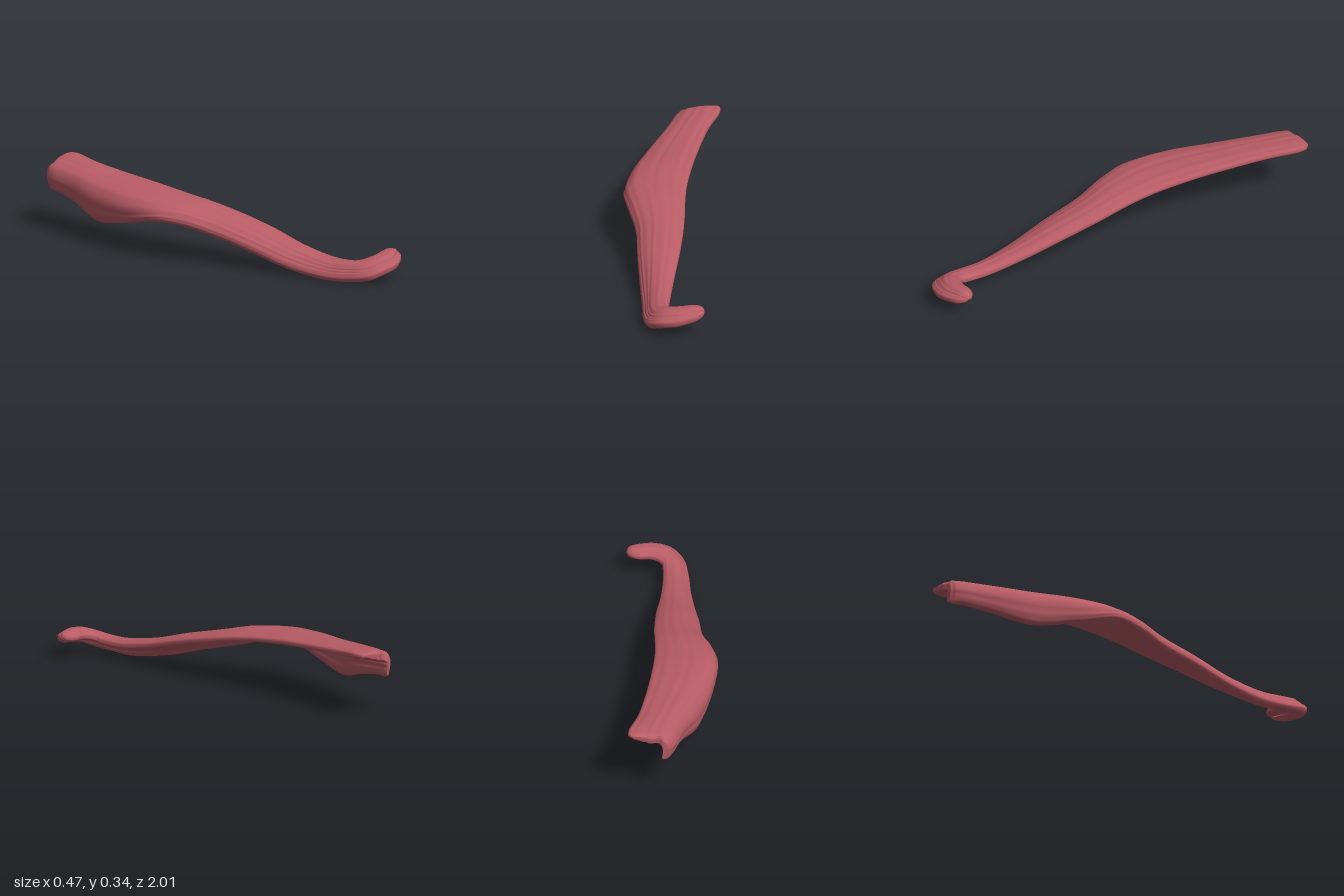
import * as THREE from 'three';

// Sections along the body: z, right edge x y, crown x y, lower edge x y, half thickness
const BODY = [
  [-1.0, 0.155, 0.33, 0.01, 0.285, 0.015, 0.22, 0.013],
  [-0.98, 0.165, 0.33, 0.005, 0.288, 0.005, 0.22, 0.023],
  [-0.93, 0.158, 0.326, -0.01, 0.282, -0.012, 0.222, 0.028],
  [-0.8, 0.118, 0.313, -0.042, 0.274, -0.045, 0.2, 0.029],
  [-0.6, 0.083, 0.298, -0.112, 0.252, -0.122, 0.148, 0.03],
  [-0.4, 0.058, 0.284, -0.17, 0.245, -0.178, 0.182, 0.031],
  [-0.2, 0.045, 0.264, -0.188, 0.243, -0.205, 0.222, 0.029],
  [-0.05, 0.045, 0.243, -0.152, 0.227, -0.17, 0.212, 0.031],
  [0.1, 0.05, 0.212, -0.11, 0.188, -0.125, 0.175, 0.032],
  [0.3, 0.045, 0.165, -0.09, 0.135, -0.103, 0.124, 0.032],
  [0.5, 0.03, 0.11, -0.067, 0.077, -0.08, 0.066, 0.031],
  [0.7, 0.02, 0.075, -0.045, 0.043, -0.055, 0.036, 0.031],
  [0.82, 0.022, 0.077, -0.035, 0.048, -0.045, 0.04, 0.03],
];

// Sections around the hook: inner edge xyz, outer crown xyz, half thickness
const HOOK = [
  [0.035, 0.088, 0.865, -0.012, 0.06, 0.918, 0.03],
  [0.07, 0.1, 0.892, 0.035, 0.08, 0.957, 0.03],
  [0.115, 0.107, 0.9, 0.105, 0.092, 0.968, 0.029],
  [0.17, 0.112, 0.89, 0.175, 0.103, 0.945, 0.027],
  [0.205, 0.115, 0.892, 0.207, 0.109, 0.932, 0.022],
  [0.224, 0.116, 0.9, 0.225, 0.113, 0.92, 0.014],
  [0.231, 0.116, 0.908, 0.231, 0.115, 0.914, 0.005],
];

const V = (x, y, z) => new THREE.Vector3(x, y, z);

function muscleGeometry(rings = 160, n = 84) {
  const right = [], crown = [], lower = [], thick = [];
  for (const [z, ax, ay, cx, cy, dx, dy, t] of BODY) {
    right.push(V(ax, ay, z));
    crown.push(V(cx, cy, z));
    lower.push(V(dx, dy, z));
    thick.push(t);
  }
  for (const [ax, ay, az, cx, cy, cz, t] of HOOK) {
    const a = V(ax, ay, az), c = V(cx, cy, cz);
    right.push(a);
    crown.push(c);
    lower.push(a.clone().lerp(c, 1.15));
    thick.push(t);
  }
  const [railA, railC, railD] = [right, crown, lower].map((p) => new THREE.CatmullRomCurve3(p));
  const axisAt = (s) => railA.getPoint(s).lerp(railC.getPoint(s), 0.5);

  const pos = [], index = [];
  for (let i = 0; i <= rings; i++) {
    const s = i / rings;
    const k = Math.min(Math.floor(s * (thick.length - 1)), thick.length - 2);
    const t = THREE.MathUtils.lerp(thick[k], thick[k + 1], s * (thick.length - 1) - k);
    const along = axisAt(Math.min(1, s + 0.004)).sub(axisAt(Math.max(0, s - 0.004))).normalize();

    // Centreline of the folded sheet, lengthened by its rounded rims
    const a = railA.getPoint(s), c = railC.getPoint(s), d = railD.getPoint(s);
    const b = a.clone().lerp(c, 0.5);
    b.y += 0.4 * t;
    // The belly's hanging rim is fuller than the rest of the sheet
    const swell = 0.45 * Math.exp(-(((a.z + 0.65) / 0.3) ** 2));
    a.addScaledVector(a.clone().sub(b).normalize(), t);
    d.addScaledVector(d.clone().sub(c).normalize(), t);
    const line = new THREE.CatmullRomCurve3([a, b, c, d]);

    for (let j = 0; j < n; j++) {
      const th = (j / n) * Math.PI * 2;
      const u = (1 - Math.cos(th)) / 2;
      const normal = line.getTangent(u).cross(along).normalize();
      const sn = Math.sin(th);
      // Fibre grooves run the whole length, deeper underneath
      const groove = Math.sin(u * 42 + s * 5) + 0.6 * Math.sin(u * 67 - s * 7);
      const depth = (sn > 0 ? 0.0016 : 0.0028) * Math.abs(sn) * Math.min(1, t / 0.026);
      const full = t * (1 + swell * u * u);
      const off = Math.sign(sn) * (full * Math.pow(Math.abs(sn), 0.65) + groove * depth);
      const p = line.getPoint(u).addScaledVector(normal, off);
      // Notch in the back end
      p.z += 0.02 * Math.exp(-(((u - 0.5) / 0.08) ** 2)) * Math.max(0, 1 - s * 14);
      pos.push(p.x, p.y, p.z);
    }
  }

  for (let i = 0; i < rings; i++) {
    for (let j = 0; j < n; j++) {
      const j2 = (j + 1) % n;
      const p = i * n + j, q = i * n + j2, r = q + n, w = p + n;
      index.push(p, q, r, p, r, w);
    }
  }
  // End caps join the upper and lower faces of the sheet
  const last = rings * n;
  for (let j = 0; j < n / 2; j++) {
    const p = j, q = j + 1, r = n - j - 1, w = (n - j) % n;
    if (q !== r) {
      index.push(p, r, q);
      index.push(last + p, last + q, last + r);
    }
    if (p !== w) {
      index.push(p, w, r);
      index.push(last + p, last + r, last + w);
    }
  }

  const g = new THREE.BufferGeometry();
  g.setAttribute('position', new THREE.Float32BufferAttribute(pos, 3));
  g.setIndex(index);
  g.computeVertexNormals();
  return g;
}

export function createModel() {
  const group = new THREE.Group();
  group.name = 'muscle';
  const flesh = new THREE.MeshStandardMaterial({ color: 0xb95c65 });
  flesh.name = 'fleshRed';

  // Folded belly, tapering tendon and hooked end in one skin
  const body = new THREE.Mesh(muscleGeometry(), flesh);
  body.name = 'muscleBody';
  group.add(body);

  // Rest on the ground and centre
  const box = new THREE.Box3().setFromObject(body);
  const mid = box.getCenter(new THREE.Vector3());
  body.position.set(-mid.x, -box.min.y, -mid.z);
  return group;
}
